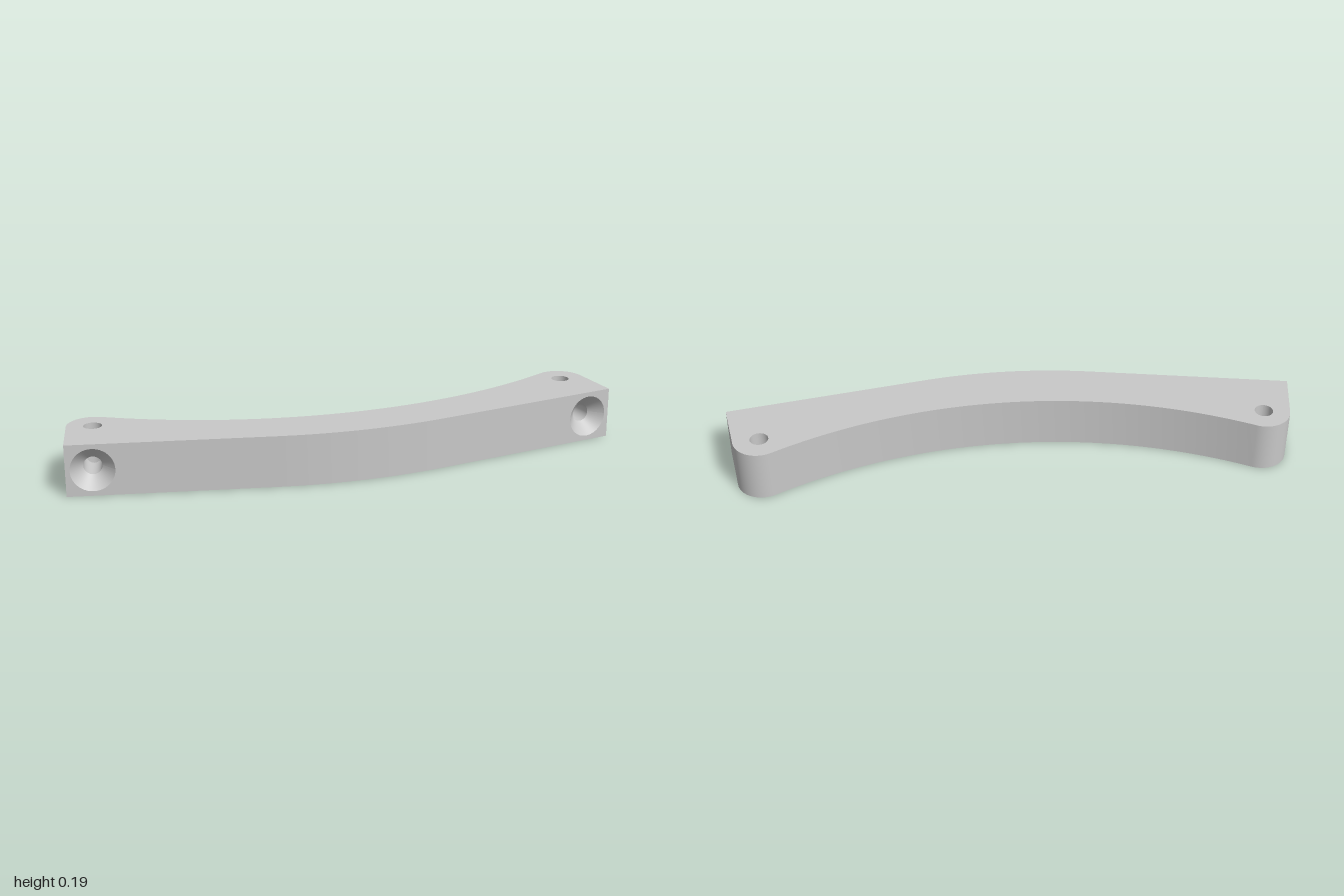
import * as THREE from 'three';

const H = 0.185, MID = H / 2;          // bar thickness and mid height
const TILT = Math.PI / 18;             // slope of the straight front faces
const CX = 0.878, CZ = -0.1115;        // pin hole centre
const R_END = 0.0913, DEPTH = 0.183;   // end rounding, distance hole to front face
const R_HOLE = 0.032, R_SINK = 0.076, SINK_DEPTH = 0.045;
const X_ARC = 0.3;                     // half width of the curved middle front
const X_PAD = 0.75;                    // where the end pads meet the front edge
const INNER_APEX = 0.018;              // z of the hollow back at x = 0

// Points (x, z) on an arc; angle 0 faces +z, 90 degrees faces +x
function arc(x, z, r, a0, a1, n) {
  return Array.from({ length: n + 1 }, (_, i) => {
    const a = a0 + (a1 - a0) * i / n;
    return [x + r * Math.sin(a), z + r * Math.cos(a)];
  });
}

// Smooth skin between two rows of [x, y, z] points
function skin(a, b) {
  const n = a.length, index = [];
  for (let i = 0; i < n - 1; i++) index.push(i, i + 1, n + i, i + 1, n + i + 1, n + i);
  const g = new THREE.BufferGeometry();
  g.setAttribute('position', new THREE.Float32BufferAttribute([...a, ...b].flat(), 3));
  g.setIndex(index);
  g.computeVertexNormals();
  return g;
}

// Path of (x, z) points raised to a height, and an upright wall along it
const level = (path, y) => path.map(([x, z]) => [x, y, z]);
const wall = (path) => skin(level(path, 0), level(path, H));

export function createModel() {
  const model = new THREE.Group();
  const grey = new THREE.MeshStandardMaterial({ color: 0xc8c8c8 });
  grey.name = 'grey';
  const add = (parent, name, geometry) => {
    const mesh = new THREE.Mesh(geometry, grey);
    mesh.name = name;
    parent.add(mesh);
    return mesh;
  };
  const addTopAndBottom = (name, geometry) => {
    add(model, name + 'Bottom', geometry.clone().rotateZ(Math.PI));
    add(model, name + 'Top', geometry).position.y = H;
  };

  // Plan outline
  const s = Math.sin(TILT), c = Math.cos(TILT);
  const corner = [CX + R_END * c + DEPTH * s, CZ - R_END * s + DEPTH * c];
  const frontZ = (x) => corner[1] + (corner[0] - x) * Math.tan(TILT);
  const rFront = X_ARC / s;
  const front = arc(0, frontZ(X_ARC) - rFront * c, rFront, -TILT, TILT, 54);

  const drop = INNER_APEX - CZ;
  const rBack = (CX * CX + drop * drop - R_END * R_END) / (2 * (drop + R_END));
  const beta = Math.atan2(CX, CZ - INNER_APEX + rBack);
  const hollow = arc(0, INNER_APEX - rBack, rBack, -beta, beta, 56);
  const round = arc(CX, CZ, R_END, Math.PI / 2 + TILT, Math.PI + beta, 20);
  const mirror = (path) => path.map(([x, z]) => [-x, z]).reverse();
  const back = [...round, ...hollow.slice(1, -1).reverse(), ...mirror(round)];

  // Side walls
  add(model, 'frontCurve', wall(front));
  add(model, 'hollowBack', wall(back));
  add(model, 'leftEndFace', wall([corner, round[0]]));
  add(model, 'rightEndFace', wall(mirror([corner, round[0]])));

  // Top and bottom of the curved span between the end pads
  const padEdge = [X_PAD, frontZ(X_PAD)];
  const spanFront = [...mirror([padEdge]), ...front, padEdge];
  addTopAndBottom('span', skin(level(spanFront, 0), level(hollow, 0)));

  // Top and bottom of the end pads, with pin holes
  const flat = (path, side) => path.map(([x, z]) => new THREE.Vector2(side * x, -z));
  for (const side of [1, -1]) {
    const pad = new THREE.Shape(flat([padEdge, corner, ...round], side));
    const hole = arc(CX, CZ, R_HOLE, TILT, TILT + 2 * Math.PI, 48).slice(0, -1);
    pad.holes.push(new THREE.Path(flat(hole, side)));
    addTopAndBottom(side > 0 ? 'leftPad' : 'rightPad', new THREE.ShapeGeometry(pad).rotateX(-Math.PI / 2));
  }
  // Each bottom pad is a half turn of the opposite top pad
  model.getObjectByName('leftPadBottom').name = 'rightPadUnderside';
  model.getObjectByName('rightPadBottom').name = 'leftPadUnderside';

  // Ends: sloping front face, countersunk screw hole and crossing pin hole
  const turn = Array.from({ length: 49 }, (_, i) => i / 48 * 2 * Math.PI);
  const ring = (r, z) => turn.map((a) => [r * Math.cos(a), r * Math.sin(a), z]);
  const bore = turn.map((a) => [R_HOLE * Math.cos(a), R_HOLE * Math.sin(a), R_HOLE * Math.abs(Math.sin(a))]);
  const pin = arc(0, 0, R_HOLE, 2 * Math.PI, 0, 48);
  const row = (y) => pin.map(([x, z]) => [x, y(z), z]);
  const inner = R_END - (corner[0] - X_ARC) / c;

  for (const side of [1, -1]) {
    const end = new THREE.Group();
    end.name = side > 0 ? 'leftEnd' : 'rightEnd';
    end.position.set(side * CX, MID, CZ);
    end.rotation.y = side * TILT;
    model.add(end);

    const face = new THREE.Shape([[inner, -MID], [R_END, -MID], [R_END, MID], [inner, MID]]
      .map(([x, y]) => new THREE.Vector2(side * x, y)));
    face.holes.push(new THREE.Path(ring(R_SINK, 0).slice(0, -1).map(([x, y]) => new THREE.Vector2(x, y))));
    add(end, 'slopingFrontFace', new THREE.ShapeGeometry(face)).position.z = DEPTH;

    add(end, 'countersink', skin(ring(R_SINK, DEPTH), ring(R_HOLE, DEPTH - SINK_DEPTH)));
    add(end, 'screwBore', skin(ring(R_HOLE, DEPTH - SINK_DEPTH), bore));
    // The pin hole wall is open where the screw bore meets it
    add(end, 'pinHoleUpper', skin(row((z) => Math.max(z, 0)), row(() => MID)));
    add(end, 'pinHoleLower', skin(row(() => -MID), row((z) => -Math.max(z, 0))));
  }
  return model;
}
